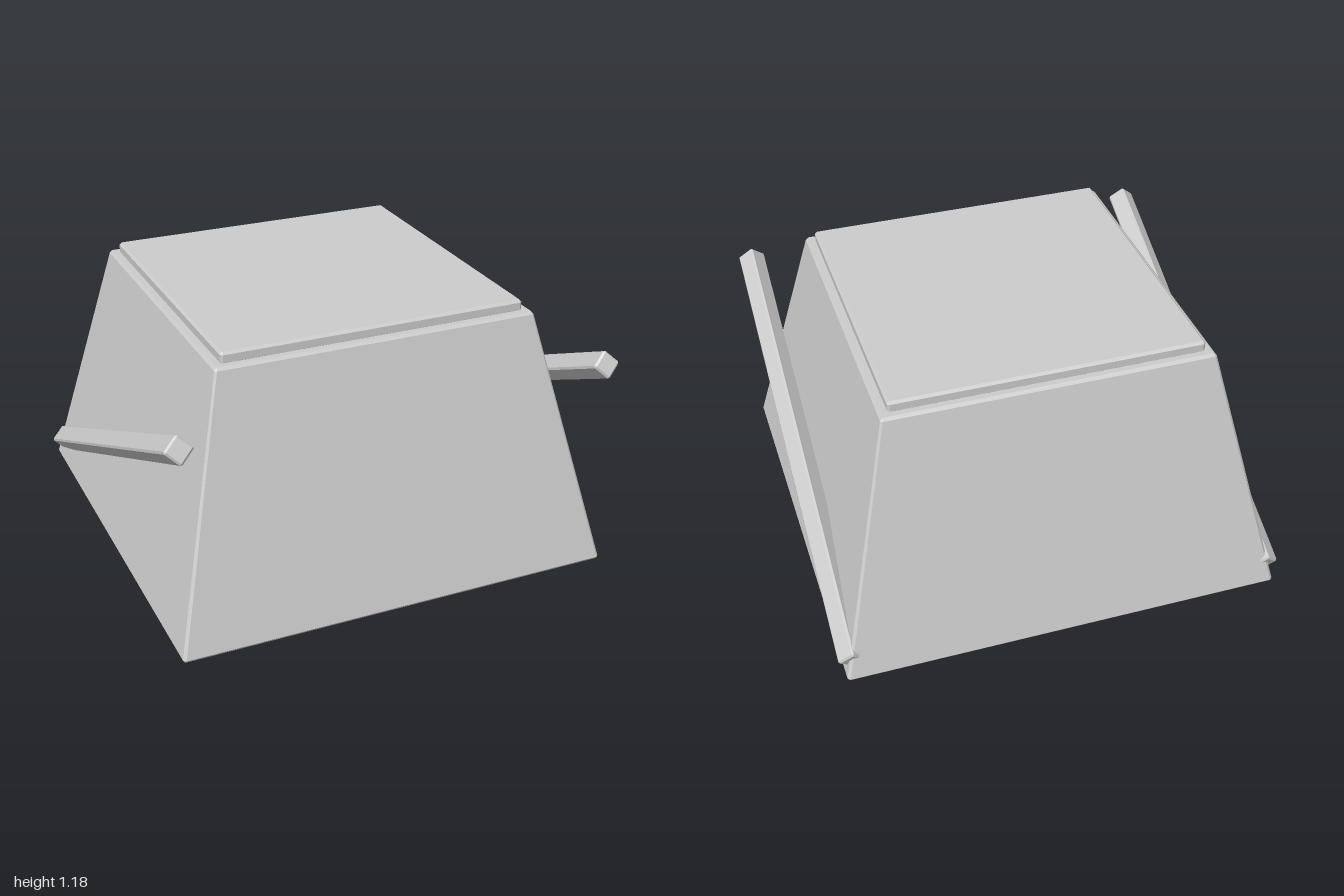
import * as THREE from 'three';
import { ConvexGeometry } from 'three/addons/geometries/ConvexGeometry.js';

// Box with chamfered edges; scaleAt(y) narrows or widens it along its height
function chamferedBox(w, h, d, b, scaleAt = () => 1) {
  const points = [];
  for (const sx of [-1, 1]) for (const sy of [-1, 1]) for (const sz of [-1, 1]) {
    for (let axis = 0; axis < 3; axis++) {
      const inset = [b, b, b];
      inset[axis] = 0;
      const y = sy * (h / 2 - inset[1]);
      const s = scaleAt(y);
      points.push(new THREE.Vector3(sx * (w / 2 - inset[0]) * s, y, sz * (d / 2 - inset[2]) * s));
    }
  }
  return new ConvexGeometry(points);
}

export function createModel() {
  const group = new THREE.Group();
  const material = new THREE.MeshStandardMaterial({ color: 0xcccccc, flatShading: true });
  const add = (name, geometry, x, y, z) => {
    const mesh = new THREE.Mesh(geometry, material);
    mesh.name = name;
    mesh.position.set(x, y, z);
    group.add(mesh);
    return mesh;
  };

  // Tapered body, wide at the base
  const bodyHeight = 1.135, base = 0.976, top = 0.71;
  const taper = (y) => 1 - (1 - top / base) * (y / bodyHeight + 0.5);
  add('body', chamferedBox(base * 2, bodyHeight, base * 2, 0.012, taper), 0, bodyHeight / 2, 0);

  // Flat lid slab
  add('lid', chamferedBox(1.35, 0.055, 1.35, 0.011), 0, 1.1525, 0);

  // Slanted handle bars, square section standing on its edge
  const barGeometry = chamferedBox(0.0894, 0.0894, 2.066, 0.008);
  for (const side of [1, -1]) {
    const bar = add(side > 0 ? 'leftHandle' : 'rightHandle', barGeometry, side * 0.9425, 0.515, 0);
    bar.rotation.set(-THREE.MathUtils.degToRad(24.5), 0, Math.PI / 4);
  }
  return group;
}
